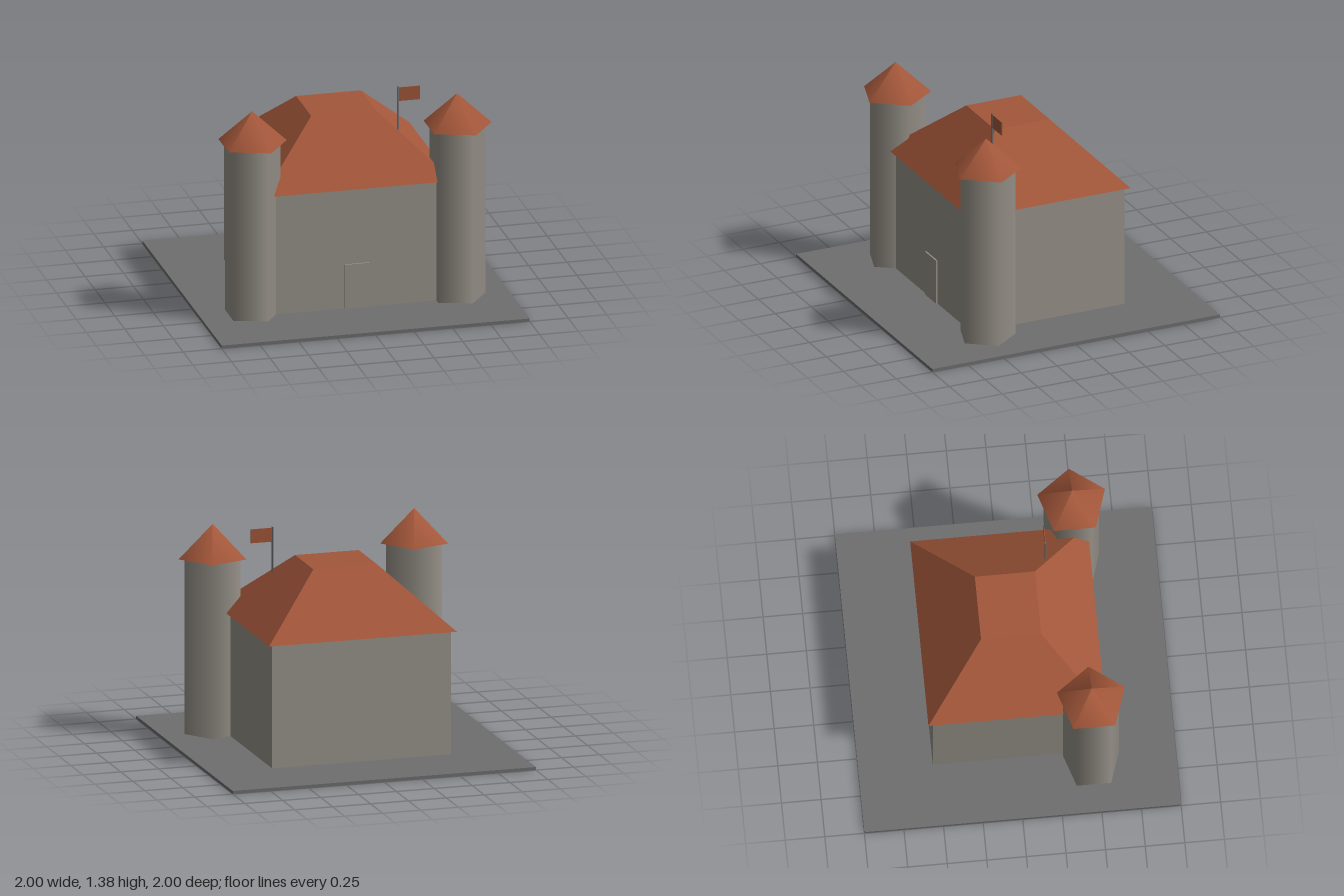
import * as THREE from 'three';

export function createModel() {
  const model = new THREE.Group();
  model.name = 'castle';

  const material = (name, color) => {
    const m = new THREE.MeshStandardMaterial({ color });
    m.name = name;
    return m;
  };
  const stone = material('stone', 0x99948b);
  const tile = material('roofTile', 0xa3573a);
  const slate = material('slate', 0x6f6f6f);

  const add = (name, geometry, mat, x, y, z, parent = model) => {
    const mesh = new THREE.Mesh(geometry, mat);
    mesh.name = name;
    mesh.position.set(x, y, z);
    parent.add(mesh);
    return mesh;
  };

  // Ground slab, hall and door
  add('base', new THREE.BoxGeometry(2, 0.02, 2), slate, 0, 0.01, 0);
  add('hall', new THREE.BoxGeometry(1.18, 0.8, 1.06), stone, 0, 0.42, 0);
  add('door', new THREE.BoxGeometry(0.16, 0.295, 0.02), stone, 0, 0.1675, 0.53);

  // Hipped roof: a box whose top is drawn in to a small flat deck
  const roof = new THREE.BoxGeometry(1.24, 0.38, 1.12);
  const p = roof.attributes.position;
  for (let i = 0; i < p.count; i++) {
    if (p.getY(i) > 0) {
      p.setX(i, Math.sign(p.getX(i)) * 0.21);
      p.setZ(i, Math.sign(p.getZ(i)) * 0.19);
    }
  }
  roof.computeVertexNormals();
  add('roof', roof, tile, 0, 1.01, 0);

  // Five-sided corner towers, both with a corner towards +x
  for (const [name, x] of [['leftTower', 0.665], ['rightTower', -0.665]]) {
    const tower = new THREE.Group();
    tower.name = name;
    tower.position.set(x, 0, 0.467);
    tower.rotation.y = Math.PI / 2;
    model.add(tower);
    add(name + 'Wall', new THREE.CylinderGeometry(0.185, 0.185, 1.14, 5), stone, 0, 0.59, 0, tower);
    add(name + 'Roof', new THREE.ConeGeometry(0.225, 0.213, 5), tile, 0, 1.2635, 0, tower);
  }

  // Flag on the roof
  add('flagPole', new THREE.CylinderGeometry(0.007, 0.007, 0.355, 5), slate, 0.332, 1.1975, 0.267);
  add('flag', new THREE.BoxGeometry(0.14, 0.09, 0.005), tile, 0.407, 1.323, 0.267);

  return model;
}
